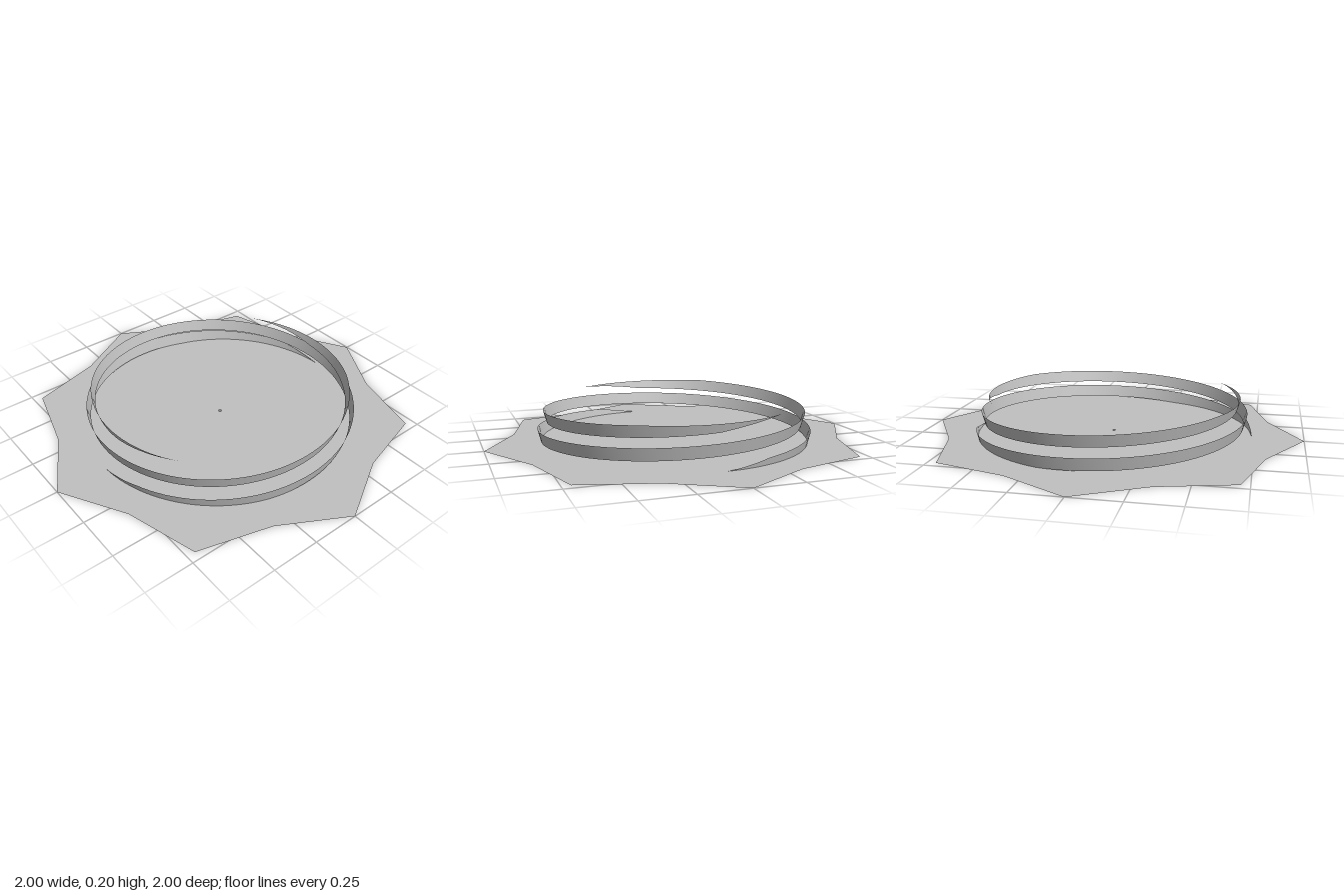
import * as THREE from 'three';

const FLOOR = 0, CEILING = 0.205; // heights between which the threads run

// Eight-pointed flat plate with a pinhole in the middle
function starPlate(material) {
  const shape = new THREE.Shape();
  for (let i = 0; i < 16; i++) {
    const r = i % 2 ? 0.877 : 1, a = (i * Math.PI) / 8;
    shape[i ? 'lineTo' : 'moveTo'](r * Math.cos(a), r * Math.sin(a));
  }
  const hole = new THREE.Path();
  hole.absarc(0, 0, 0.008, 0, Math.PI * 2, true);
  shape.holes.push(hole);
  const geometry = new THREE.ShapeGeometry(shape, 12);
  geometry.rotateX(-Math.PI / 2);
  const plate = new THREE.Mesh(geometry, material);
  plate.name = 'starPlate';
  return plate;
}

// Rising ribbon, leaning outward, trimmed to a taper at both ends
function threadGeometry() {
  const steps = 128, end = 2.19; // end is in half turns
  const positions = [], index = [];
  for (let i = 0; i <= steps; i++) {
    const t = (i / steps) * end, a = Math.PI * t;
    const low = { r: 0.722 - 0.033 * t, y: -0.04 + 0.101 * t };
    const high = { r: 0.738 - 0.032 * t, y: 0.027 + 0.098 * t };
    const fadeIn = Math.min(1, t / 0.1);
    const fadeOut = Math.min(1, (end - t) / 0.19);
    const top = Math.min(high.y * fadeIn, CEILING);
    const bottom = Math.max(CEILING - (CEILING - low.y) * fadeOut, FLOOR);
    for (const y of [bottom, top]) {
      const k = (y - low.y) / (high.y - low.y);
      const r = low.r + (high.r - low.r) * k;
      positions.push(-r * Math.cos(a), y, r * Math.sin(a));
    }
    if (i < steps) {
      const b = i * 2;
      index.push(b, b + 2, b + 1, b + 1, b + 2, b + 3);
    }
  }
  const geometry = new THREE.BufferGeometry();
  geometry.setAttribute('position', new THREE.Float32BufferAttribute(positions, 3));
  geometry.setIndex(index);
  geometry.computeVertexNormals();
  return geometry;
}

export function createModel() {
  const grey = new THREE.MeshStandardMaterial({ color: 0xc0c0c0, side: THREE.DoubleSide });
  grey.name = 'light grey';

  const model = new THREE.Group();
  model.name = 'threadedStarLid';
  model.add(starPlate(grey));

  // Two threads, half a turn apart
  const geometry = threadGeometry();
  ['firstThread', 'secondThread'].forEach((name, i) => {
    const thread = new THREE.Mesh(geometry, grey);
    thread.name = name;
    thread.rotation.y = i * Math.PI;
    model.add(thread);
  });
  return model;
}
